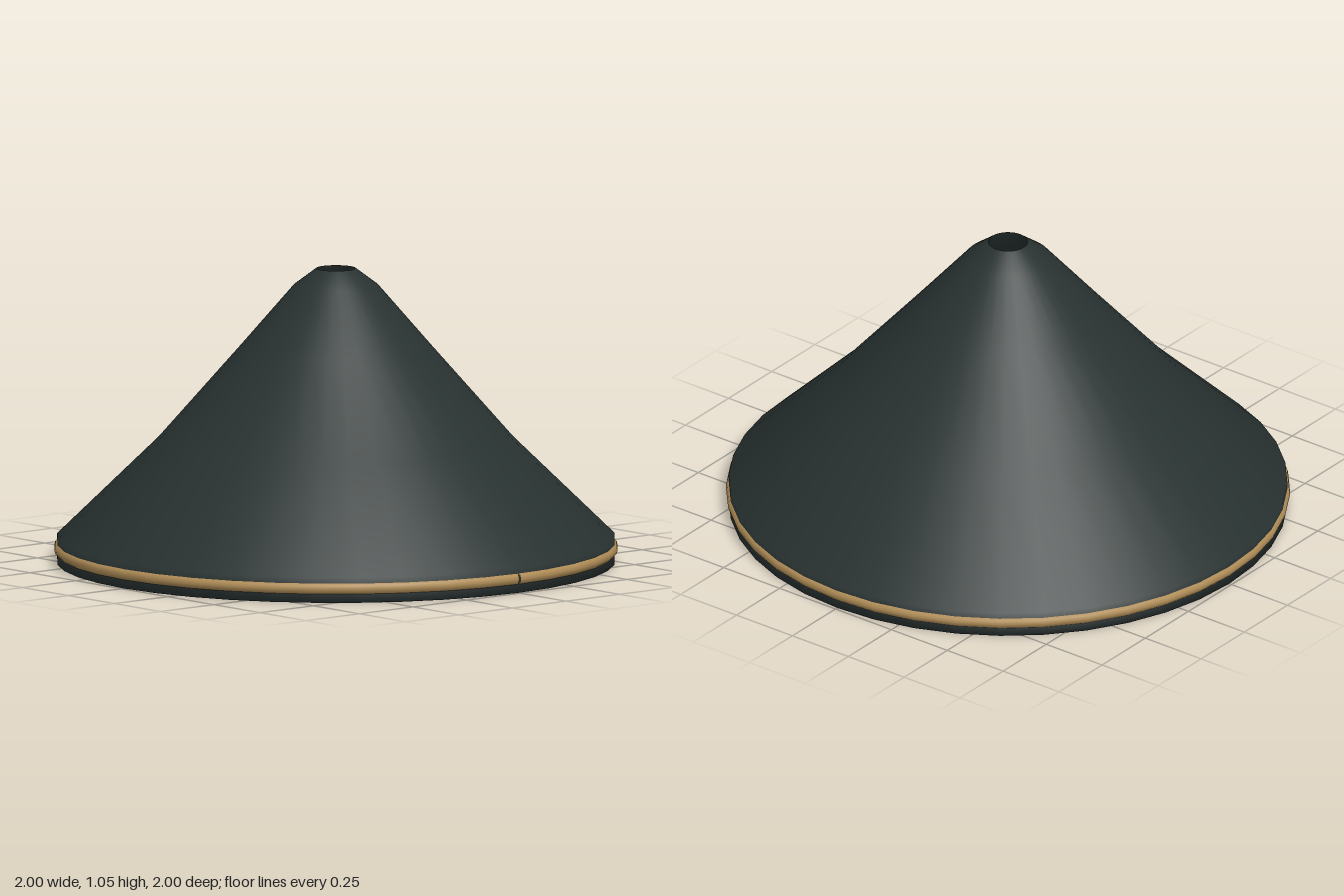
import * as THREE from 'three';

const SIDES = 40;

export function createModel() {
  const group = new THREE.Group();
  group.name = 'pendantLamp';

  const mat = (name, color, side = THREE.FrontSide) => {
    const m = new THREE.MeshStandardMaterial({ color, side });
    m.name = name;
    return m;
  };
  const enamel = mat('dark green enamel', 0x283231, THREE.DoubleSide);
  const brass = mat('brass', 0xb08d57);
  const glass = mat('warm white glass', 0xe8e2d2);

  const add = (name, geometry, material) => {
    const mesh = new THREE.Mesh(geometry, material);
    mesh.name = name;
    group.add(mesh);
    return mesh;
  };

  // Shade: down the inside wall, across the broad lip and up the outside to the open top
  const inside = [[0.07, 1.05], [0.12, 0.96], [0.305, 0.74], [0.59, 0.4], [0.925, 0]];
  const outside = [[0.99, 0], [0.99, 0.09], [0.63, 0.44], [0.34, 0.77], [0.15, 0.99], [0.07, 1.05]];
  const profile = [...inside, ...outside].map(([x, y]) => new THREE.Vector2(x, y));
  add('shade', new THREE.LatheGeometry(profile, SIDES), enamel);

  // Trim ring round the lip, with its fine joint on the left side
  const gap = 0.006;
  const ring = new THREE.TorusGeometry(0.976, 0.024, 12, SIDES, Math.PI * 2 - gap);
  ring.rotateZ(gap / 2).rotateX(-Math.PI / 2);
  add('trimRing', ring, brass).position.y = 0.05;

  // Slightly elongated bulb hanging inside the shade
  const bulb = add('bulb', new THREE.SphereGeometry(0.21, 32, 20), glass);
  bulb.scale.y = 1.25;
  bulb.position.y = 0.5;

  return group;
}
